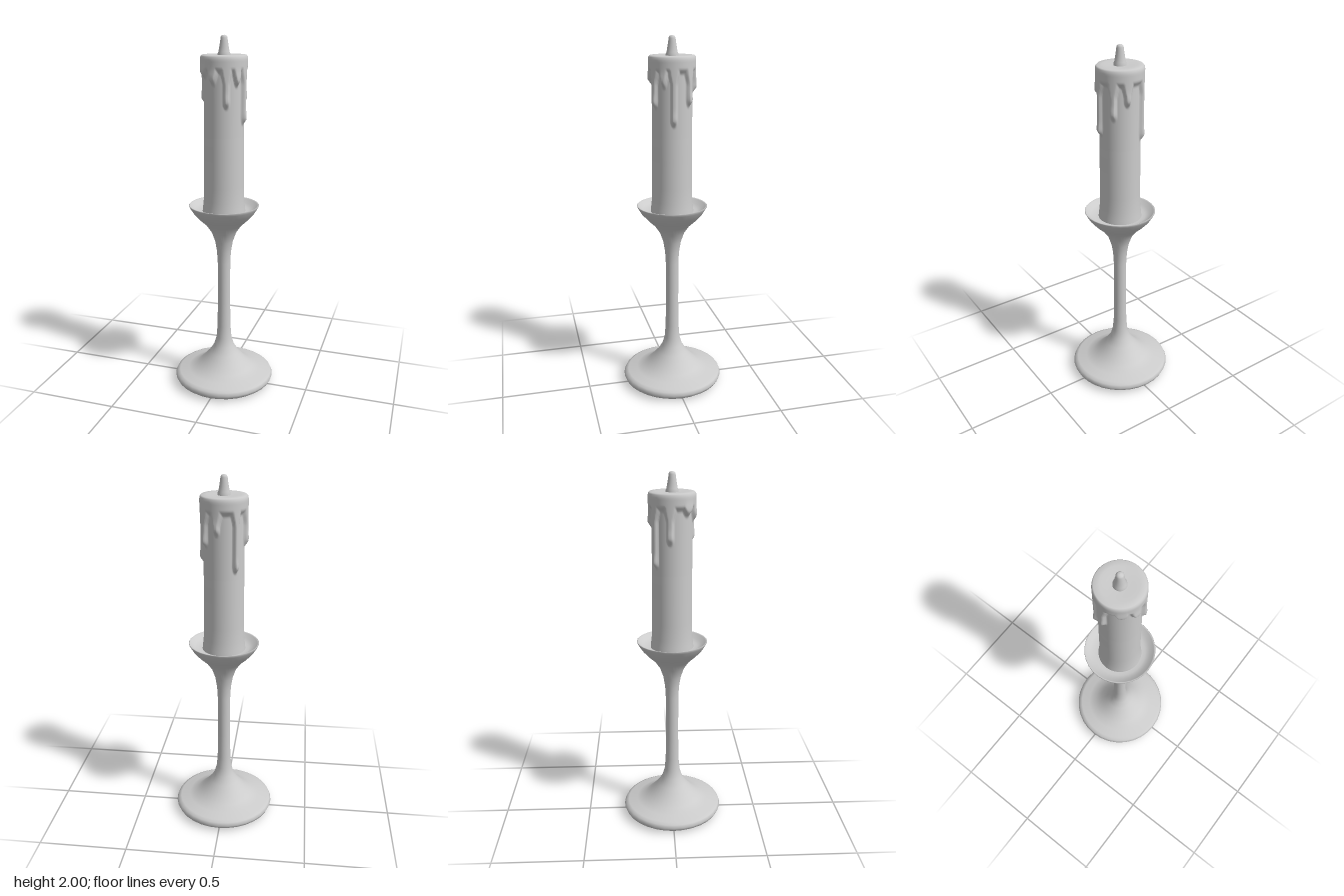
import * as THREE from 'three';
import { mergeVertices } from 'three/addons/utils/BufferGeometryUtils.js';

const material = new THREE.MeshStandardMaterial({ color: 0xcccccc });
const { smoothstep, degToRad } = THREE.MathUtils;

function lathe(name, points, segments) {
  const profile = points.map(([r, y]) => new THREE.Vector2(r, y));
  const mesh = new THREE.Mesh(new THREE.LatheGeometry(profile, segments), material);
  mesh.name = name;
  return mesh;
}

// Wax drips: [angle from the front towards +x in degrees, tip height, half width in degrees]
const DRIPS = [
  [-48, 1.78, 13], [-14, 1.75, 11], [24, 1.63, 11], [54, 1.74, 9], [82, 1.54, 11],
  [128, 1.64, 11], [166, 1.71, 11], [219, 1.51, 10], [263, 1.64, 12],
];
const BAND = 1.82;

// Thickness of the melted wax at a given angle and height
function waxDepth(angle, y) {
  let depth = 0.018 * smoothstep(y, BAND - 0.015, BAND + 0.02);
  for (const [deg, tip, width] of DRIPS) {
    const d = angle - degToRad(deg);
    const offset = Math.abs(Math.atan2(Math.sin(d), Math.cos(d))) / degToRad(width);
    // the drip is widest where it leaves the band, with a rounded tip
    const spread = 0.85 + 0.9 * smoothstep(y, BAND - 0.07, BAND + 0.02);
    const across = 1 - smoothstep(offset / spread, 0.45, 1.05);
    const lowEnd = tip + 0.025 * Math.min(offset * offset, 2);
    const along = smoothstep(y, lowEnd - 0.01, lowEnd + 0.03);
    const bead = 0.004 * Math.exp(-(((y - tip - 0.04) / 0.03) ** 2));
    depth = Math.max(depth, (0.018 + bead) * across * along);
  }
  return depth;
}

function makeCandle() {
  // Shaft with a flared foot, dense rows in the drip zone, softly rounded top
  const points = [[0.12, 1.045], [0.117, 1.075], [0.112, 1.12], [0.11, 1.2], [0.109, 1.35]];
  for (let y = 1.47; y < 1.875; y += 0.008) points.push([0.108, y]);
  points.push([0.108, 1.88], [0.106, 1.893], [0.1, 1.9], [0.09, 1.902], [0.06, 1.898], [0, 1.898]);
  const candle = lathe('candle', points, 144);

  const pos = candle.geometry.attributes.position;
  for (let i = 0; i < pos.count; i++) {
    const x = pos.getX(i), y = pos.getY(i), z = pos.getZ(i);
    const r = Math.hypot(x, z);
    if (r < 0.095 || y < 1.46) continue;
    const k = (r + waxDepth(Math.atan2(x, z), y)) / r;
    pos.setXYZ(i, x * k, y, z * k);
  }
  candle.geometry.deleteAttribute('normal');
  candle.geometry.deleteAttribute('uv');
  candle.geometry = mergeVertices(candle.geometry, 1e-5);
  candle.geometry.computeVertexNormals();
  return candle;
}

export function createModel() {
  const group = new THREE.Group();
  group.name = 'candlestick';

  // Holder: round foot, slim stem and flared cup with a shallow dish
  group.add(lathe('holder', [
    [0, 0.004], [0.23, 0.004], [0.262, 0.01], [0.28, 0.024], [0.288, 0.042], [0.28, 0.06],
    [0.262, 0.069], [0.21, 0.08], [0.165, 0.098], [0.125, 0.135], [0.085, 0.18], [0.058, 0.225],
    [0.044, 0.275], [0.038, 0.35], [0.036, 0.5], [0.036, 0.74], [0.04, 0.81], [0.05, 0.87],
    [0.069, 0.925], [0.1, 0.97], [0.138, 1.005], [0.17, 1.04], [0.19, 1.072], [0.196, 1.084],
    [0.193, 1.087], [0.186, 1.083], [0.165, 1.064], [0.14, 1.054], [0.11, 1.052], [0, 1.052],
  ], 32));

  group.add(makeCandle());

  // Wick: tapered stub with a rounded tip
  group.add(lathe('wick', [
    [0.034, 1.89], [0.033, 1.908], [0.029, 1.916], [0.025, 1.94], [0.02, 1.97],
    [0.0185, 1.986], [0.015, 1.995], [0.008, 1.999], [0, 2],
  ], 24));

  return group;
}
